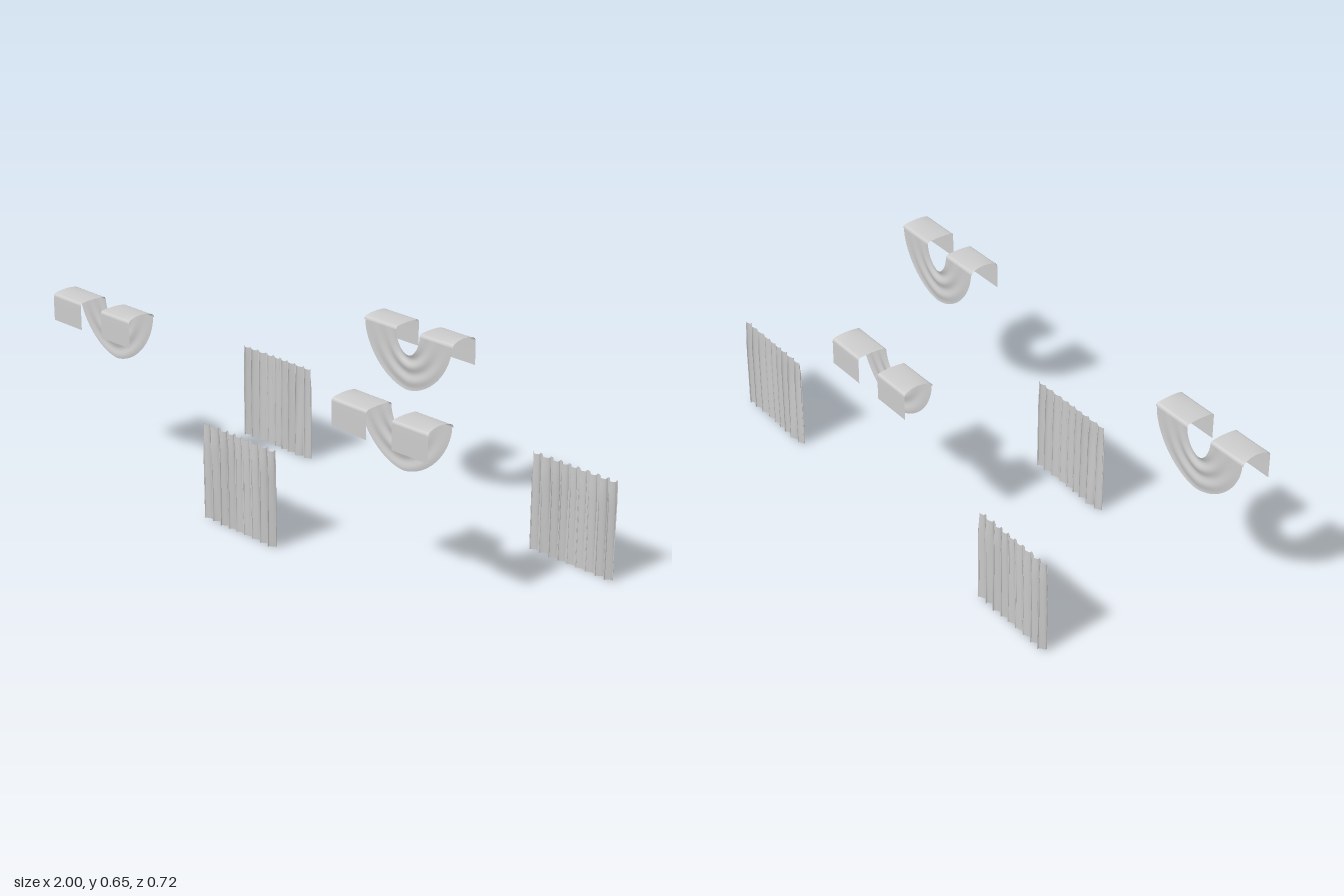
import * as THREE from 'three';

const cloth = new THREE.MeshStandardMaterial({ color: 0xcccccc, side: THREE.DoubleSide });

// Smooth sheet of cloth: fn(u, v) returns [x, y, z] for u, v in 0..1
function sheet(name, nu, nv, fn) {
  const pos = [], index = [];
  for (let j = 0; j <= nv; j++)
    for (let i = 0; i <= nu; i++) pos.push(...fn(i / nu, j / nv));
  for (let j = 0; j < nv; j++)
    for (let i = 0; i < nu; i++) {
      const a = j * (nu + 1) + i, b = a + 1, c = a + nu + 1, d = c + 1;
      index.push(a, b, d, a, d, c);
    }
  const geo = new THREE.BufferGeometry();
  geo.setAttribute('position', new THREE.Float32BufferAttribute(pos, 3));
  geo.setIndex(index);
  geo.computeVertexNormals();
  const mesh = new THREE.Mesh(geo, cloth);
  mesh.name = name;
  return mesh;
}

// Hanging panel with nine uneven pleats that flatten towards the top hem
function createCurtain() {
  return sheet('curtainPanel', 144, 16, (u, v) => {
    const phase = u * 18 * Math.PI + 0.5 * Math.sin(u * 11);
    const depth = 0.009 + 0.003 * Math.sin(u * 9 + 1);
    const taper = 1 - 0.55 * THREE.MathUtils.smoothstep(v, 0.75, 1);
    // One deeper pleat near the edge leans over its neighbour
    const pleat = Math.exp(-(((u - 0.83 - 0.04 * v) / 0.03) ** 2));
    const x = (u - 0.5) * 0.35 + 0.006 * Math.sin(2 * phase) * taper + 0.004 * pleat;
    const hem = 0.004 * Math.cos(phase) * v ** 8;
    const y = 0.003 + v * 0.345 + hem;
    const z = Math.sin(phase + 0.4 * v) * depth * taper + 0.005 * pleat * (1 - v);
    return [x, y, z];
  });
}

const SWAG_Z = -0.05, SWAG_TOP = 0.632;

// U-shaped drape between an inner and an outer curve, with soft folds
function createSwag() {
  return sheet('swag', 48, 24, (u, v) => {
    const t = Math.PI * (1 - u), c = Math.cos(t), s = Math.sin(t);
    const ox = 0.2 * Math.sign(c) * Math.abs(c) ** 1.15;
    const oy = 0.202 * Math.max(s, 0) ** 1.15;
    const x = THREE.MathUtils.lerp(0.054 * c, ox, v);
    const y = SWAG_TOP - THREE.MathUtils.lerp(0.077 * s, oy, v);
    const fold = 0.0045 * Math.sin(v * 15 + 1.5 * c) * s * (1 - v * 0.6);
    return [x, y, SWAG_Z + fold];
  });
}

// Flap that continues the swag over the rail and hangs down the other side
const flapProfile = [
  [SWAG_Z, SWAG_TOP], [-0.049, 0.637], [-0.046, 0.641], [-0.04, 0.643], [-0.02, 0.645],
  [0.005, 0.646], [0.03, 0.645], [0.05, 0.643], [0.056, 0.641], [0.059, 0.637],
  [0.06, SWAG_TOP], [0.06, 0.59], [0.06, 0.546],
];

function createFlap(side) {
  const last = flapProfile.length - 1;
  return sheet(side > 0 ? 'leftFlap' : 'rightFlap', 12, last, (u, v) => {
    const [z, y] = flapProfile[Math.round(v * last)];
    // Outer end crowns slightly and its edge curves inward mid-span
    const crown = Math.max(0, 1 - ((z - 0.005) / 0.055) ** 2);
    const x = 0.054 + u * (0.151 - 0.006 * crown);
    return [side * x, y + 0.006 * crown * u ** 4, z];
  });
}

function createValance() {
  const valance = new THREE.Group();
  valance.name = 'valance';
  valance.add(createSwag(), createFlap(1), createFlap(-1));
  return valance;
}

export function createModel() {
  const model = new THREE.Group();
  model.name = 'windowDrapery';
  const place = (object, x, z, turned) => {
    object.position.set(x, 0, z);
    if (turned) object.rotation.y = Math.PI;
    model.add(object);
  };

  // Draped valances
  place(createValance(), -0.795, 0.3, false);
  place(createValance(), 0.59, 0.3, false);
  place(createValance(), 0.125, -0.3, true);

  // Curtain panels
  place(createCurtain(), -0.57, -0.3, false);
  place(createCurtain(), -0.112, 0.3, true);
  place(createCurtain(), 0.82, -0.3, true);

  return model;
}
